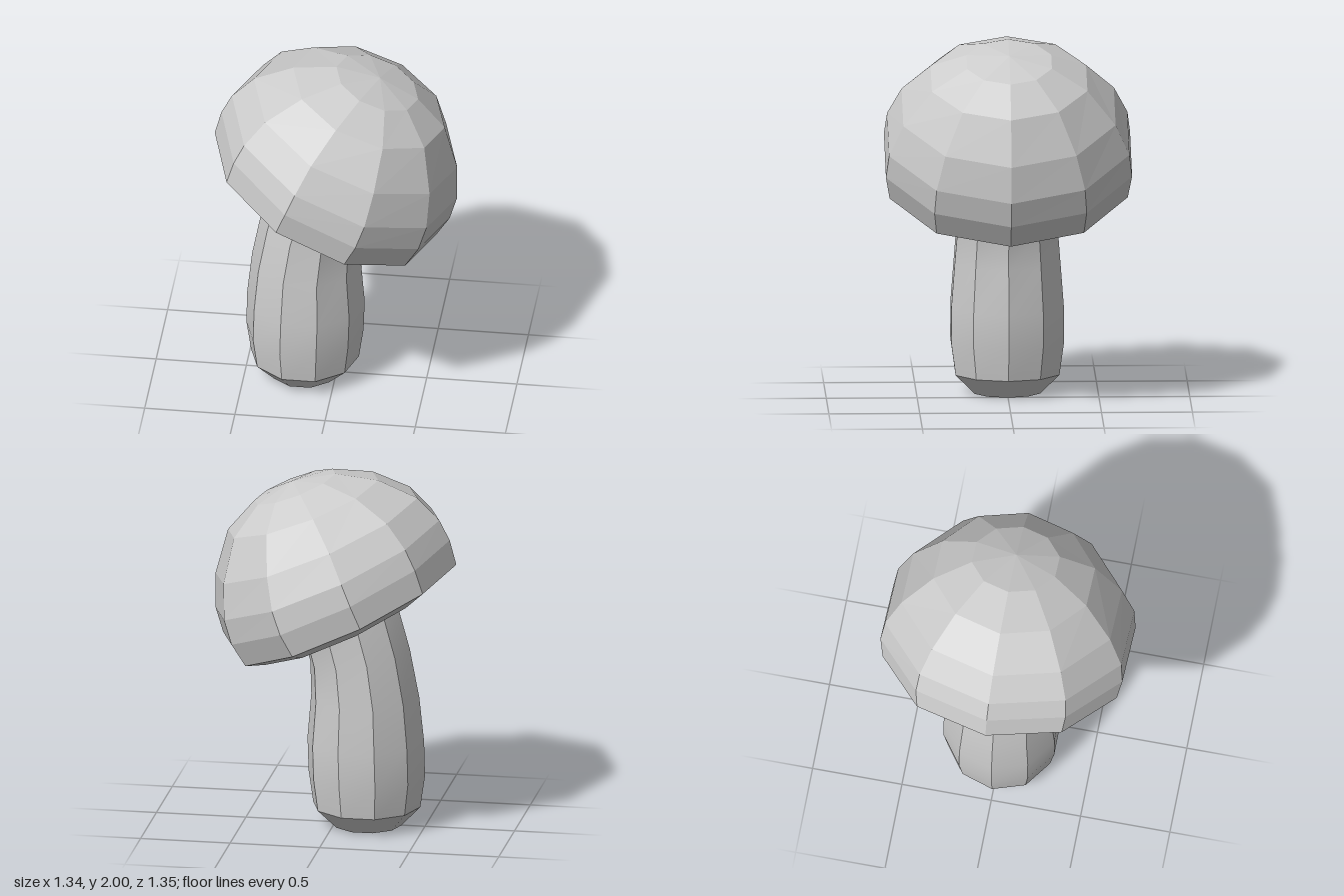
import * as THREE from 'three';
import { toCreasedNormals } from 'three/addons/utils/BufferGeometryUtils.js';

const SIDES = 10;

// Skin a stack of ten-sided rings. Each ring: [rightX, rightY, leftX, leftY, depthRadius];
// a ring whose depth radius is 0 closes the skin in a point.
function loft(rings) {
  const positions = [];
  const index = [];
  for (const [rx, ry, lx, ly, rz] of rings) {
    for (let i = 0; i < SIDES; i++) {
      const a = (i / SIDES) * Math.PI * 2;
      const t = (1 + Math.cos(a)) / 2;
      positions.push(lx + (rx - lx) * t, ly + (ry - ly) * t, rz * Math.sin(a));
    }
  }
  for (let j = 0; j < rings.length - 1; j++) {
    for (let i = 0; i < SIDES; i++) {
      const a = j * SIDES + i;
      const b = j * SIDES + ((i + 1) % SIDES);
      const c = a + SIDES;
      const d = b + SIDES;
      if (rings[j][4] > 0) index.push(a, c, b);
      if (rings[j + 1][4] > 0) index.push(b, c, d);
    }
  }
  const geometry = new THREE.BufferGeometry();
  geometry.setAttribute('position', new THREE.Float32BufferAttribute(positions, 3));
  geometry.setIndex(index);
  return geometry;
}

export function createModel() {
  const group = new THREE.Group();
  group.name = 'mushroom';

  // Bent stem: rounded foot, slight bulge, leaning into the cap
  const stemGeometry = toCreasedNormals(loft([
    [-0.18, 0, -0.18, 0, 0],
    [0.01, 0, -0.37, 0, 0.19],
    [0.124, 0.11, -0.474, 0.11, 0.3],
    [0.15, 0.29, -0.5, 0.29, 0.326],
    [0.156, 0.48, -0.495, 0.49, 0.326],
    [0.135, 0.73, -0.468, 0.74, 0.306],
    [0.14, 0.915, -0.415, 1.016, 0.288],
    [0.18, 1.07, -0.336, 1.3, 0.28],
    [0.27, 1.27, -0.25, 1.51, 0.28],
    [0.01, 1.39, 0.01, 1.39, 0],
  ]), 0.52);
  const stem = new THREE.Mesh(stemGeometry, new THREE.MeshStandardMaterial({ color: 0xcccccc }));
  stem.name = 'stem';
  group.add(stem);

  // Tilted cap: hollow underside, lip, rim, then the dome up to its pole
  const capGeometry = loft([
    [0.08, 1.45, 0.08, 1.45, 0],
    [0.456, 1.14, -0.4, 1.54, 0.47],
    [0.426, 0.937, -0.54, 1.39, 0.55],
    [0.548, 0.937, -0.675, 1.513, 0.689],
    [0.627, 1.058, -0.638, 1.651, 0.712],
    [0.669, 1.196, -0.58, 1.762, 0.695],
    [0.669, 1.397, -0.458, 1.884, 0.614],
    [0.6, 1.65, -0.24, 1.974, 0.45],
    [0.452, 1.825, 0, 2, 0.245],
    [0.241, 1.947, 0.241, 1.947, 0],
  ]).toNonIndexed();
  capGeometry.computeVertexNormals();
  const cap = new THREE.Mesh(capGeometry, new THREE.MeshStandardMaterial({ color: 0xcccccc, flatShading: true }));
  cap.name = 'cap';
  group.add(cap);

  return group;
}
